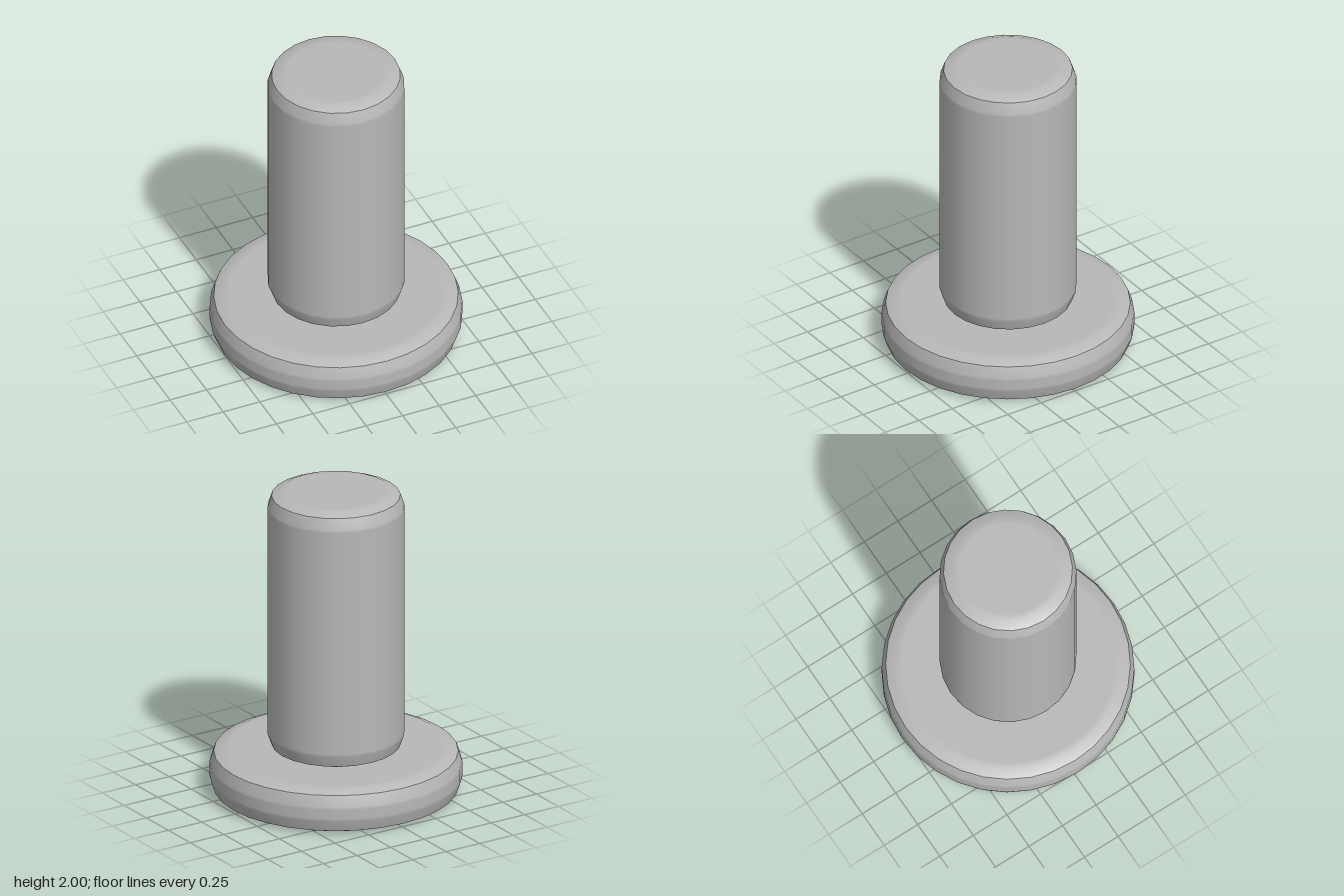
import * as THREE from 'three';

const grey = new THREE.MeshStandardMaterial({ color: 0xb8b8b8 });
grey.name = 'plainGrey';

// A round disc with bevelled rims: the caps are creased where they meet the wall.
function bevelledDisc(name, radius, bottom, top, sides) {
  const part = new THREE.Group();
  part.name = name;
  const inner = radius - 0.085, crease = radius - 0.025;
  const lower = [[0, 0], [inner - 0.04, 0], [inner, 0], [crease, 0.025]];
  const wallEnd = [[crease, 0.025], [radius, 0.095], [radius, 0.115]];

  const rise = (pts) => pts.map(([r, y]) => new THREE.Vector2(r, bottom + y));
  const fall = (pts) => pts.map(([r, y]) => new THREE.Vector2(r, top - y)).reverse();
  const sections = {
    bottomCap: rise(lower),
    wall: [...rise(wallEnd), ...fall(wallEnd)],
    topCap: fall(lower),
  };
  for (const [section, points] of Object.entries(sections)) {
    const mesh = new THREE.Mesh(new THREE.LatheGeometry(points, sides), grey);
    mesh.name = `${name}-${section}`;
    part.add(mesh);
  }
  return part;
}

export function createModel() {
  const model = new THREE.Group();
  model.name = 'flangedPin';
  model.add(bevelledDisc('base', 0.787, 0, 0.287, 32));
  model.add(bevelledDisc('shaft', 0.427, 0.287, 2, 24));
  return model;
}
